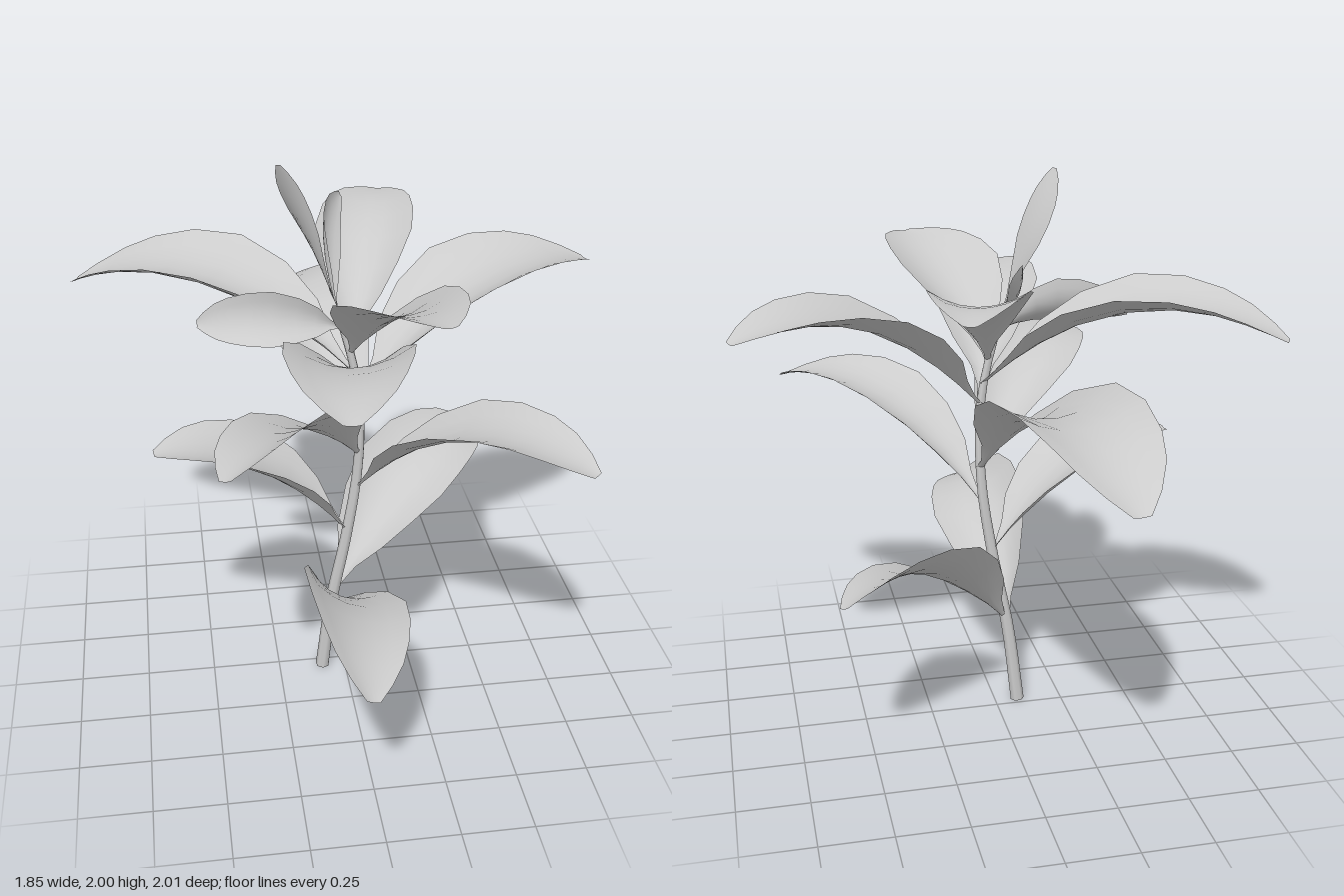
import * as THREE from 'three';

const UP = new THREE.Vector3(0, 1, 0);
const STEM_HEIGHT = 1.5;
const ROWS = 10;
const COLUMNS = 6;

// Stem centreline: x and z at equal steps of height
const STEM = [[-0.085, 0.035], [-0.05, 0.045], [0.005, 0.06], [0.045, 0.07], [0.04, 0.085], [-0.03, 0.085]];
const stemCurve = new THREE.CatmullRomCurve3(STEM.map(([x, z], i) =>
  new THREE.Vector3(x, STEM_HEIGHT * i / (STEM.length - 1), z)));

// Half-width along the blade, from the narrow stalk to the blunt tip
const outline = new THREE.SplineCurve([[0, 0.07], [0.1, 0.13], [0.27, 0.62], [0.52, 1], [0.74, 0.87], [0.89, 0.58], [1, 0.13]]
  .map(([u, w]) => new THREE.Vector2(u, w)));

// Curved, cupped blade from the stem to the tip
function leafGeometry({ from, tip, arch, width, roll = 0, sway = 0, cup = 0.62 }) {
  const start = stemCurve.getPoint(from / STEM_HEIGHT);
  const end = new THREE.Vector3(...tip);
  const across = new THREE.Vector3().subVectors(end, start).cross(UP).negate().normalize();
  const control = start.clone().lerp(end, 0.5)
    .addScaledVector(UP, 2 * arch).addScaledVector(across, 2 * sway);
  const midrib = new THREE.QuadraticBezierCurve3(start, control, end);
  const positions = [];
  const index = [];
  for (let i = 0; i <= ROWS; i++) {
    const { x: u, y: share } = outline.getPoint(i / ROWS);
    const center = midrib.getPointAt(THREE.MathUtils.clamp(u, 0, 1));
    const tangent = midrib.getTangentAt(THREE.MathUtils.clamp(u, 0, 1));
    const side = new THREE.Vector3().crossVectors(UP, tangent).normalize().applyAxisAngle(tangent, roll);
    const normal = new THREE.Vector3().crossVectors(tangent, side);
    const half = share * width / 2;
    const depth = cup * (1 - 0.75 * u); // flatter toward the tip
    for (let j = 0; j <= COLUMNS; j++) {
      const v = (j / COLUMNS) * 2 - 1;
      const p = center.clone().addScaledVector(side, v * half).addScaledVector(normal, v * v * half * depth);
      positions.push(p.x, p.y, p.z);
      if (i > 0 && j > 0) {
        const d = i * (COLUMNS + 1) + j, c = d - 1;
        const b = d - COLUMNS - 1, a = b - 1;
        index.push(a, d, b, a, c, d);
      }
    }
  }
  const geometry = new THREE.BufferGeometry();
  geometry.setAttribute('position', new THREE.Float32BufferAttribute(positions, 3));
  geometry.setIndex(index);
  geometry.computeVertexNormals();
  return geometry;
}

// Bent tube that narrows toward the top
function stemGeometry(bottom, top, sides = 7, steps = 18) {
  const geometry = new THREE.TubeGeometry(stemCurve, steps, bottom, sides, false);
  const pos = geometry.attributes.position;
  const p = new THREE.Vector3();
  for (let i = 0; i < pos.count; i++) {
    const u = Math.floor(i / (sides + 1)) / steps;
    const center = stemCurve.getPointAt(u);
    p.fromBufferAttribute(pos, i).sub(center)
      .multiplyScalar(THREE.MathUtils.lerp(1, top / bottom, u)).add(center);
    pos.setXYZ(i, p.x, Math.max(0, p.y), p.z);
  }
  return geometry;
}

export function createModel() {
  const plant = new THREE.Group();
  plant.name = 'plant';
  const material = new THREE.MeshStandardMaterial({ color: 0xcccccc, side: THREE.DoubleSide });
  const add = (name, geometry) => {
    const mesh = new THREE.Mesh(geometry, material);
    mesh.name = name;
    plant.add(mesh);
    return mesh;
  };
  const leaf = (name, options) => add(name, leafGeometry(options));

  // Stem and its cut end
  add('stem', stemGeometry(0.026, 0.013));
  const cut = add('stemBase', new THREE.CircleGeometry(0.025, 7));
  cut.rotation.x = Math.PI / 2;
  cut.position.set(STEM[0][0], 0.001, STEM[0][1]);

  // Lower leaves
  leaf('lowFrontLeaf', { from: 0.27, tip: [-0.05, 0.58, 1], arch: 0.18, width: 0.37, roll: -0.4 });
  leaf('lowBackLeaf', { from: 0.33, tip: [0.61, 0.71, -0.51], arch: 0.16, width: 0.36, roll: 0.4 });
  leaf('lowRightLeaf', { from: 0.61, tip: [-0.67, 1.02, 0.13], arch: 0.125, width: 0.38 });

  // Middle leaves
  leaf('frontLeftLeaf', { from: 0.79, tip: [0.7, 1.15, 0.71], arch: 0.18, width: 0.35 });
  leaf('frontRightLeaf', { from: 0.93, tip: [-0.46, 1.27, 0.79], arch: 0.14, width: 0.36, roll: 0.3 });
  leaf('backLeaf', { from: 0.93, tip: [-0.21, 1.15, -1], arch: 0.245, width: 0.46, sway: 0.02 });
  leaf('leftLeaf', { from: 1.17, tip: [0.91, 1.52, -0.21], arch: 0.165, width: 0.44 });
  leaf('rightLeaf', { from: 1.25, tip: [-0.91, 1.47, -0.38], arch: 0.19, width: 0.44 });
  leaf('upperFrontLeaf', { from: 1.2, tip: [-0.11, 1.51, 0.95], arch: 0.125, width: 0.41, sway: -0.02 });

  // Crown
  leaf('topFrontLeaf', { from: 1.33, tip: [0.21, 1.69, 0.73], arch: 0.085, width: 0.39 });
  leaf('topBackLeaf', { from: 1.33, tip: [0.23, 1.66, -0.69], arch: 0.12, width: 0.34 });
  leaf('smallRightLeaf', { from: 1.43, tip: [-0.5, 1.48, 0.1], arch: 0.05, width: 0.18, roll: -1.15, sway: 0.07 });
  leaf('smallBackLeaf', { from: 1.48, tip: [0.05, 1.73, -0.43], arch: 0.03, width: 0.15, roll: 1.2, sway: 0.05 });
  leaf('uprightLeaf', { from: 1.5, tip: [-0.22, 2, 0.09], arch: 0, width: 0.13, roll: 0.35, sway: -0.03, cup: 0.3 });

  return plant;
}
